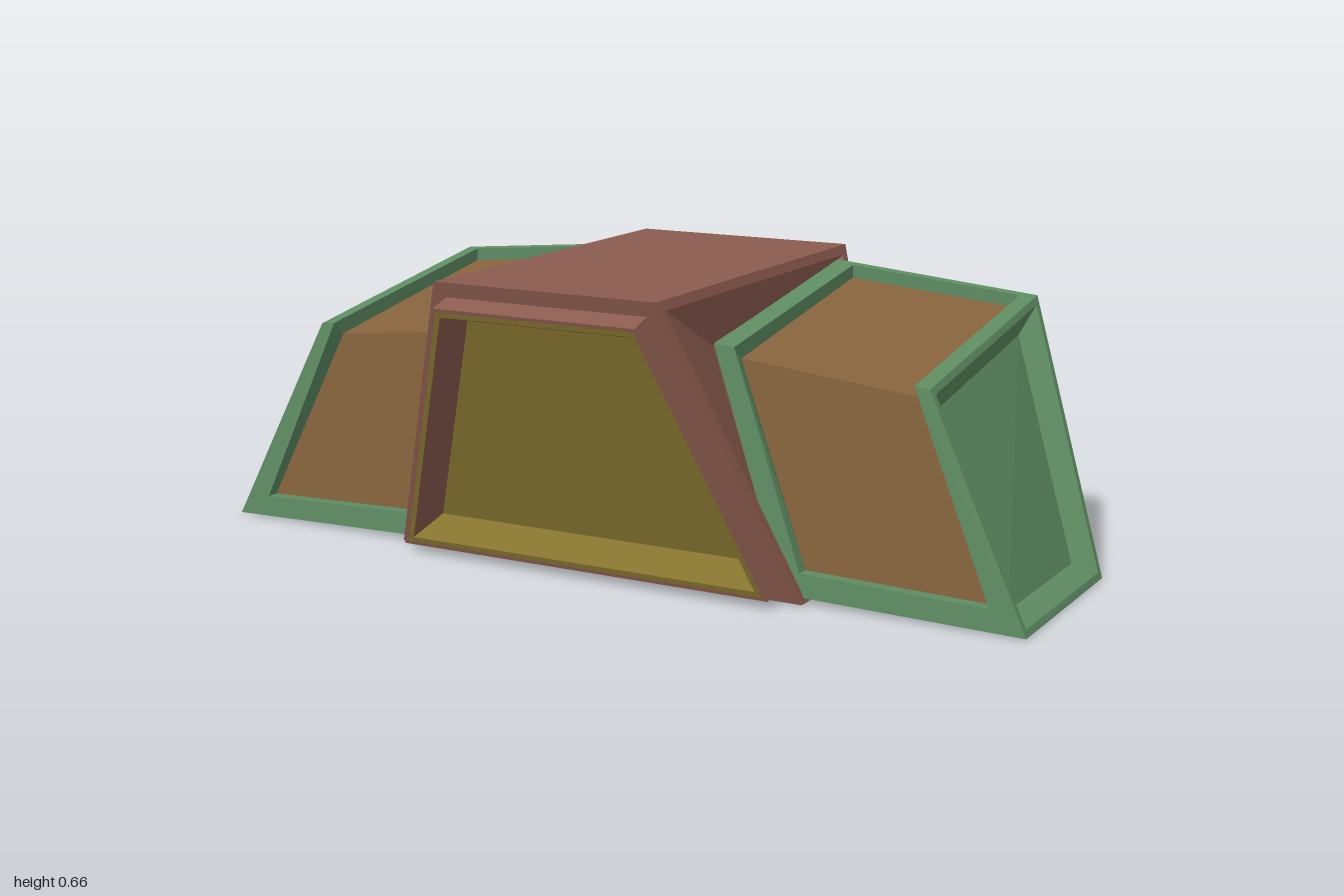
import * as THREE from 'three';

const V = (x, y, z) => new THREE.Vector3(x, y, z);
const material = (color) => new THREE.MeshStandardMaterial({ color, flatShading: true });
const RED = material(0x8c5c50), GREEN = material(0x5e8c62);
const TAN = material(0x85623c), YELLOW = material(0x85742f);

// Flat-shaded mesh from four-cornered faces, optionally mirrored across x
function mesh(name, mat, faces, mirror = false) {
  const pos = [];
  for (const f of faces) {
    const q = mirror ? f.map((p) => V(-p.x, p.y, p.z)).reverse() : f;
    for (const i of [0, 1, 2, 0, 2, 3]) pos.push(q[i].x, q[i].y, q[i].z);
  }
  const geo = new THREE.BufferGeometry();
  geo.setAttribute('position', new THREE.Float32BufferAttribute(pos, 3));
  geo.computeVertexNormals();
  const m = new THREE.Mesh(geo, mat);
  m.name = name;
  return m;
}

// Faces joining an outer loop to an inner loop
const strip = (a, b) => a.map((p, i) => {
  const j = (i + 1) % a.length;
  return [p, a[j], b[j], b[i]];
});

// Shrink a four-cornered loop by t and sink it by depth
function inset(ring, t, depth = 0) {
  const n = ring[2].clone().sub(ring[0]).cross(ring[3].clone().sub(ring[1])).normalize();
  return ring.map((p, i) => {
    const a = ring[(i + 1) % 4].clone().sub(p).normalize();
    const b = ring[(i + 3) % 4].clone().sub(p).normalize();
    const s = t / Math.sin(a.angleTo(b));
    return p.clone().addScaledVector(a.add(b), s).addScaledVector(n, -depth);
  });
}

// Point on a quad: u from a to b, v from a to d
const onQuad = (a, b, c, d, u, v) => a.clone().lerp(b, u).lerp(d.clone().lerp(c, u), v);

function centreBlock() {
  const g = new THREE.Group();
  g.name = 'centreBlock';
  const corners = (s) => [
    V(s * 0.51, 0.003, 0.24), V(s * 0.51, 0.003, -0.28),
    V(s * 0.27, 0.66, -0.485), V(s * 0.27, 0.66, 0.445),
  ];
  const [fb, bb, bt, ft] = corners(1);
  const [fbR, bbR, btR, ftR] = corners(-1);
  const underside = [bbR, bb, fb, fbR];
  g.add(mesh('blockShell', RED, [[ftR, ft, bt, btR], [bb, bbR, btR, bt], underside]));
  g.add(mesh('floorPanel', GREEN, [inset(underside, 0.012, -0.003)]));

  // Side sockets that take the wings
  const side = [fb, bb, bt, ft];
  const rim = inset(side, 0.022);
  const socket = [[0.03, 0.22], [0.03, -0.25], [0.6, -0.42], [0.53, 0.2]]
    .map(([y, z]) => V(0.51 - 0.24 * y / 0.66 - 0.045, y, z));
  const sideFaces = [...strip(side, rim), ...strip(rim, socket), socket];
  g.add(mesh('leftSocket', RED, sideFaces), mesh('rightSocket', RED, sideFaces, true));

  // Raised front frame with a sunken panel
  const front = [fbR, fb, ft, ftR];
  const base = inset(front, 0.035);
  const lip = inset(base, 0, -0.055);
  const lipIn = inset(lip, 0.008);
  const trim = inset(lipIn, 0.012);
  const panel = inset(trim, 0.035, 0.06);
  const walls = strip(trim, panel);
  g.add(mesh('frontFrame', RED, [
    ...strip(front, base), ...strip(base, lip), ...strip(lip, lipIn), ...walls.slice(1),
  ]));
  g.add(mesh('frontPanel', YELLOW, [...strip(lipIn, trim), walls[0], panel]));
  return g;
}

function wing(name, mirror) {
  const g = new THREE.Group();
  g.name = name;
  const ifb = V(0.46, 0.015, 0.225), ibb = V(0.46, 0.015, -0.26);
  const ibt = V(0.27, 0.63, -0.44), ift = V(0.27, 0.535, 0.19);
  const ofb = V(1, 0.003, 0.225), obb = V(1, 0.003, -0.26);
  const obt = V(0.765, 0.585, -0.44), oft = V(0.765, 0.485, 0.19);

  // Recess running over the front and the top
  const frontAt = (u, v) => onQuad(ifb, ofb, oft, ift, u, v);
  const topAt = (u, v) => onQuad(ift, oft, obt, ibt, u, v);
  const outer = [ifb, ofb, oft, obt, ibt, ift];
  const rim = [
    frontAt(0.1, 0.1), frontAt(0.89, 0.1), frontAt(0.93, 1),
    topAt(0.93, 0.97), topAt(0.1, 0.97), frontAt(0.1, 1),
  ];
  const sink = [[0, -0.03], [0, -0.03], [-0.03, -0.035], [-0.03, 0], [-0.03, 0], [-0.03, -0.035]];
  const floor = rim.map((p, i) => V(p.x, p.y + sink[i][0], p.z + sink[i][1]));

  // Sunken end cap
  const cap = [ofb, obb, obt, oft];
  const capRim = inset(cap, 0.016);
  const capFloor = inset(capRim, 0.04, 0.04);

  g.add(mesh('wingShell', GREEN, [
    [ifb, ibb, obb, ofb], [ibb, ibt, obt, obb], [ifb, ift, ibt, ibb],
    ...strip(outer, rim), ...strip(rim, floor),
  ], mirror));
  g.add(mesh('wingEnd', GREEN, [...strip(cap, capRim), ...strip(capRim, capFloor), capFloor], mirror));
  g.add(mesh('wingPanel', TAN, [
    [floor[0], floor[1], floor[2], floor[5]], [floor[5], floor[2], floor[3], floor[4]],
  ], mirror));
  return g;
}

export function createModel() {
  const model = new THREE.Group();
  model.name = 'model';
  model.add(centreBlock(), wing('leftWing', false), wing('rightWing', true));
  return model;
}
